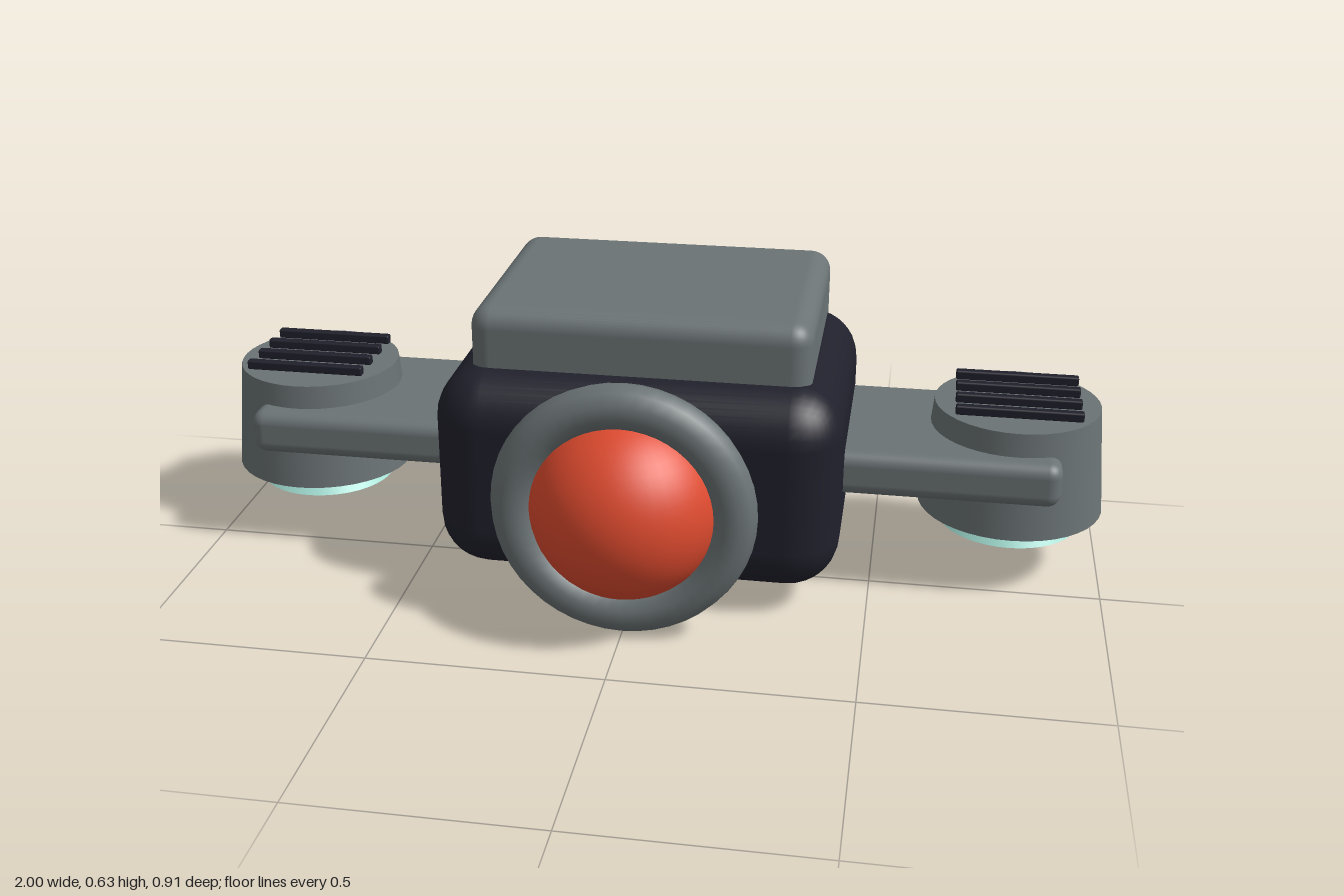
import * as THREE from 'three';
import { RoundedBoxGeometry } from 'three/addons/geometries/RoundedBoxGeometry.js';

const material = (name, color) => {
  const m = new THREE.MeshStandardMaterial({ color });
  m.name = name;
  return m;
};

export function createModel() {
  const grey = material('grey casing', 0x6b7375);
  const dark = material('dark shell', 0x20202c);
  const red = material('red eye', 0xdf4b2f);
  const teal = material('pale teal glow', 0xa3dfd3);

  const model = new THREE.Group();
  model.name = 'hoverDrone';

  const add = (parent, name, geometry, mat, x, y, z) => {
    const mesh = new THREE.Mesh(geometry, mat);
    mesh.name = name;
    mesh.position.set(x, y, z);
    parent.add(mesh);
    return mesh;
  };

  // Central shell and the lid sunk into its top
  add(model, 'body', new RoundedBoxGeometry(0.87, 0.452, 0.668, 4, 0.11), dark, 0, 0.277, -0.121);
  add(model, 'lid', new RoundedBoxGeometry(0.725, 0.2, 0.555, 4, 0.045), grey, 0, 0.53, -0.162);

  // Eye with its rim
  add(model, 'eye', new THREE.SphereGeometry(0.203, 40, 28), red, 0, 0.28, 0.252);
  add(model, 'eyeRim', new THREE.TorusGeometry(0.23, 0.048, 10, 48), grey, 0, 0.28, 0.292);

  // Arms, thruster pods, glowing nozzles and vent bars on both sides
  for (const [side, s] of [['left', 1], ['right', -1]]) {
    add(model, side + 'Arm', new RoundedBoxGeometry(0.6, 0.1, 0.415, 4, 0.03), grey, s * 0.592, 0.282, -0.15);

    const thruster = new THREE.Group();
    thruster.name = side + 'Thruster';
    thruster.position.set(s * 0.797, 0, -0.17);
    model.add(thruster);
    add(thruster, 'pod', new THREE.CylinderGeometry(0.18, 0.203, 0.24, 40), grey, 0, 0.264, 0);
    add(thruster, 'nozzle', new THREE.CylinderGeometry(0.1, 0.153, 0.07, 40), teal, 0, 0.136, 0);
    for (let i = 0; i < 4; i++) {
      add(thruster, 'ventBar', new RoundedBoxGeometry(0.27, 0.021, 0.021, 1, 0.004), dark,
        0, 0.4, (i - 1.5) * 0.0685);
    }
  }
  return model;
}
